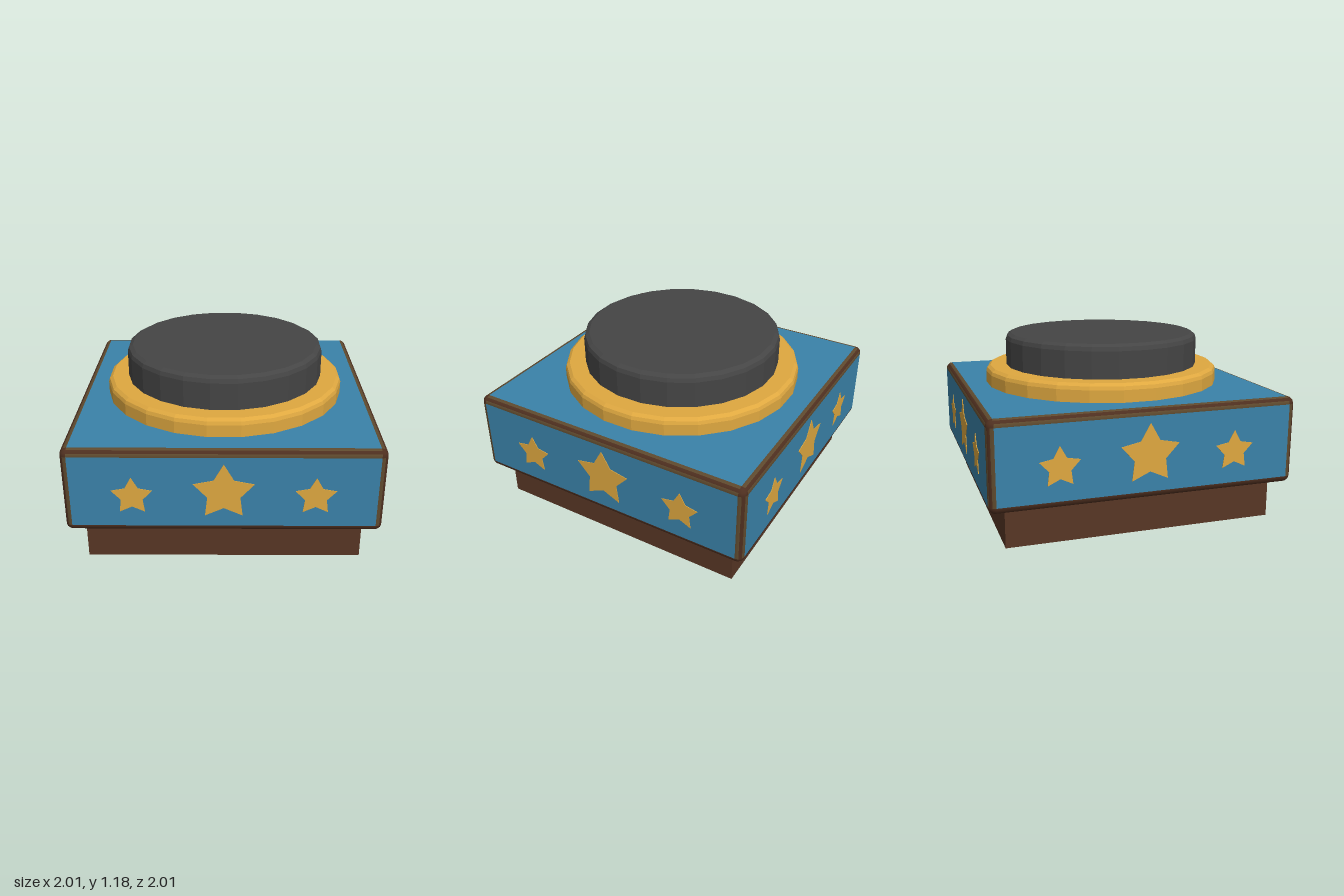
import * as THREE from 'three';

const D = THREE.DoubleSide;
const mat = (name, color) => new THREE.MeshStandardMaterial({ name, color, side: D });

// faceted normals
function flat(geo) {
  const g = geo.index ? geo.toNonIndexed() : geo;
  g.computeVertexNormals();
  return g;
}

function starShape(R, r) {
  const s = new THREE.Shape();
  for (let i = 0; i < 10; i++) {
    const a = Math.PI / 2 + (i * Math.PI) / 5;
    const d = i % 2 ? r : R;
    if (i) s.lineTo(Math.cos(a) * d, Math.sin(a) * d);
    else s.moveTo(Math.cos(a) * d, Math.sin(a) * d);
  }
  s.closePath();
  return s;
}

function squareLoop(target, h) {
  target.moveTo(-h, -h);
  target.lineTo(h, -h);
  target.lineTo(h, h);
  target.lineTo(-h, h);
  target.closePath();
  return target;
}

export function createModel() {
  const blue = mat('blue paint', 0x3a82a9);
  const gold = mat('gold', 0xdfa840);
  const black = mat('charcoal', 0x454545);
  const brown = mat('brown', 0x573625);
  const edgeBrown = mat('edge brown', 0x4e2f1f);
  const wornEdge = mat('worn edge', 0x5f4a2e);

  const model = new THREE.Group();
  model.name = 'pushButton';
  const add = (parent, name, geo, material, x = 0, y = 0, z = 0) => {
    const m = new THREE.Mesh(geo, material);
    m.name = name;
    m.position.set(x, y, z);
    parent.add(m);
    return m;
  };

  // open square base
  const base = new THREE.CylinderGeometry(0.89 * Math.SQRT2, 0.89 * Math.SQRT2, 0.265, 4, 1, true, Math.PI / 4);
  add(model, 'base', flat(base), brown, 0, 0.1325, 0);

  // hollow box: dimensions of the flat panels inside the rounded edges
  const r = 0.045, a = 1 - r, y0 = 0.26, y1 = 0.835;
  const yLow = y0 + r, yHigh = y1 - r, yMid = (y0 + y1) / 2;

  add(model, 'topPanel', new THREE.PlaneGeometry(2 * a, 2 * a).rotateX(-Math.PI / 2), blue, 0, y1, 0);
  const lip = squareLoop(new THREE.Shape(), a);
  lip.holes.push(squareLoop(new THREE.Path(), 0.89));
  add(model, 'bottomLip', new THREE.ShapeGeometry(lip).rotateX(Math.PI / 2), blue, 0, y0, 0);

  // rounded edge made of three strips, the middle one darker
  const arc = (length, start, i) =>
    new THREE.CylinderGeometry(r, r, length, 1, 1, true, start + (i * Math.PI) / 6, Math.PI / 6);

  for (let k = 0; k < 4; k++) {
    const side = new THREE.Group();
    side.name = 'side' + (k + 1);
    side.rotation.y = (k * Math.PI) / 2;
    model.add(side);

    add(side, 'sidePanel', new THREE.PlaneGeometry(2 * a, yHigh - yLow), blue, 0, yMid, 1);

    for (let i = 0; i < 3; i++) {
      const m = i === 1 ? edgeBrown : wornEdge;
      add(side, 'uprightEdge', arc(yHigh - yLow, 0, i), m, a, yMid, a);
      add(side, 'topEdge', arc(2 * a, 0, i).rotateZ(Math.PI / 2), m, 0, yHigh, a);
      add(side, 'bottomEdge', arc(2 * a, -Math.PI / 2, i).rotateZ(Math.PI / 2), edgeBrown, 0, yLow, a);
    }
    for (const [y, start] of [[yHigh, 0], [yLow, Math.PI / 2]]) {
      const corner = new THREE.SphereGeometry(r, 3, 3, Math.PI / 2, Math.PI / 2, start, Math.PI / 2);
      add(side, 'corner', corner, edgeBrown, a, y, a);
    }

    // one large and two small stars, showing on both faces of the panel
    for (const [x, y, R, inner] of [[0, 0.545, 0.2, 0.108], [-0.57, 0.518, 0.134, 0.071], [0.57, 0.518, 0.134, 0.071]]) {
      const star = new THREE.ExtrudeGeometry(starShape(R, inner), { depth: 0.008, bevelEnabled: false });
      add(side, 'star', star, gold, x, y, 0.996);
    }
  }

  // faceted ring and button, both open below
  const turned = (pts) =>
    flat(new THREE.LatheGeometry(pts.map((p) => new THREE.Vector2(...p)), 24, Math.PI / 24));
  add(model, 'ring', turned([[0.82, 0.775], [0.82, 0.915], [0.812, 0.938], [0.79, 0.955], [0.6, 0.955]]), gold);
  add(model, 'button', turned([[0.677, 0.9], [0.677, 1.135], [0.668, 1.162], [0.64, 1.178], [0, 1.178]]), black);

  return model;
}
